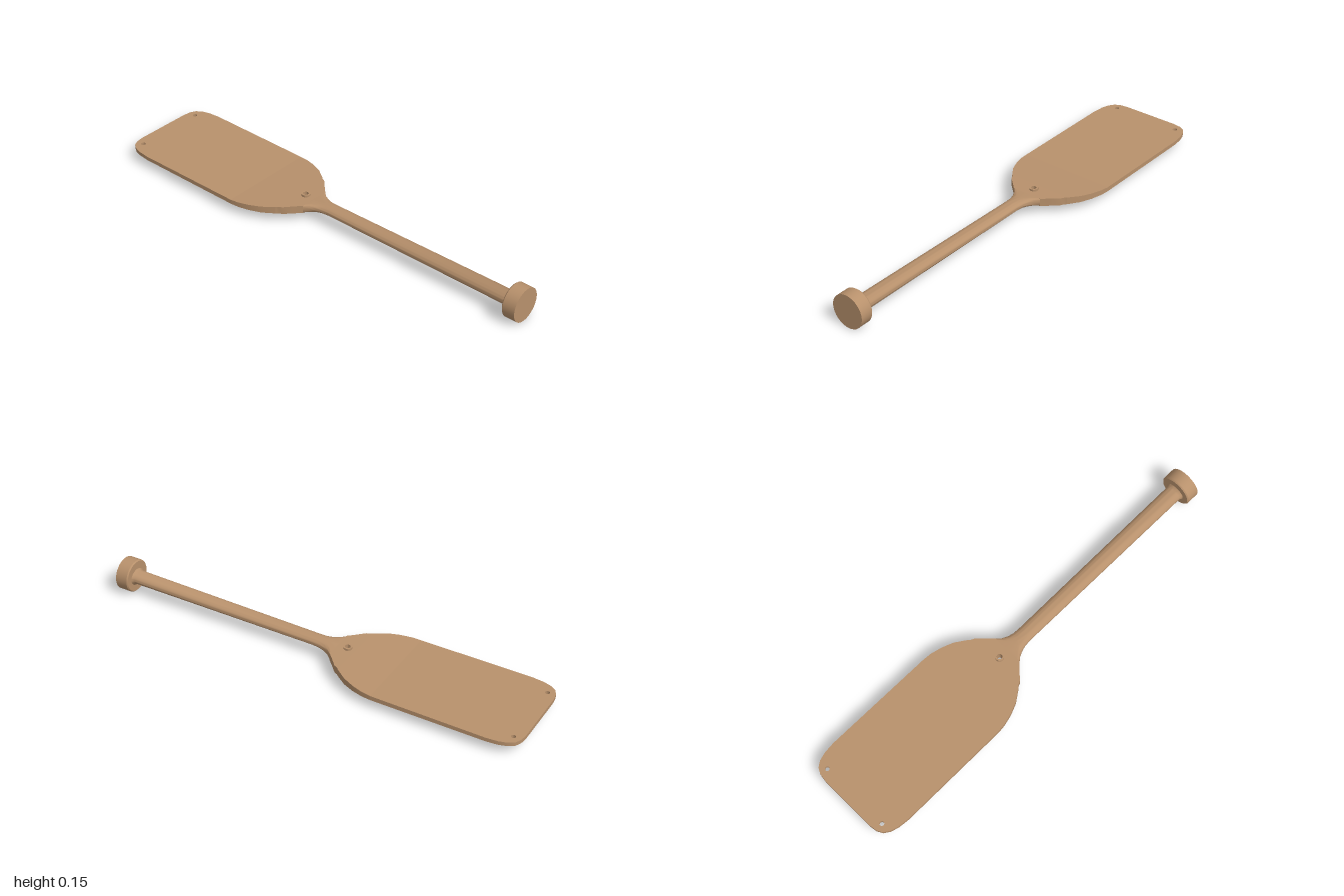
import * as THREE from 'three';
import { toCreasedNormals } from 'three/addons/utils/BufferGeometryUtils.js';

const Z0 = 0.002; // centre line of the paddle

// Flat slab between stations a and b; each station is [x, bottom, top]
function slab(half, a, b, holes) {
  const outline = [...half.map(([x, z]) => [x, -z]), ...half.slice().reverse()];
  const shape = new THREE.Shape(outline.map(([x, z]) => new THREE.Vector2(x, z)));
  for (const [x, z, r] of holes) {
    shape.holes.push(new THREE.Path().absarc(x, z, r, 0, Math.PI * 2, true));
  }
  const geo = new THREE.ExtrudeGeometry(shape, { depth: 1, bevelEnabled: false, curveSegments: 10 });
  geo.rotateX(-Math.PI / 2);
  const p = geo.attributes.position;
  for (let i = 0; i < p.count; i++) {
    const t = (p.getX(i) - a[0]) / (b[0] - a[0]);
    const low = THREE.MathUtils.lerp(a[1], b[1], t);
    const high = THREE.MathUtils.lerp(a[2], b[2], t);
    p.setY(i, THREE.MathUtils.lerp(low, high, p.getY(i)));
  }
  geo.translate(0, 0, Z0);
  return toCreasedNormals(geo, 0.6);
}

// Skin over sections [x, half width, bottom, top, roundness]; 1 is an ellipse, near 0 a box
function loft(sections, n = 32) {
  const pos = [], index = [];
  for (const [x, w, low, high, e] of sections) {
    for (let j = 0; j < n; j++) {
      const a = (j / n) * Math.PI * 2;
      const c = Math.cos(a), s = Math.sin(a);
      const f = (v) => Math.sign(v) * Math.pow(Math.abs(v), e);
      pos.push(x, (low + high) / 2 + f(s) * (high - low) / 2, Z0 + f(c) * w);
    }
  }
  for (let i = 0; i < sections.length - 1; i++) {
    for (let j = 0; j < n; j++) {
      const k = (j + 1) % n;
      const p = i * n + j, q = i * n + k;
      index.push(p, p + n, q, q, p + n, q + n);
    }
  }
  const geo = new THREE.BufferGeometry();
  geo.setAttribute('position', new THREE.Float32BufferAttribute(pos, 3));
  geo.setIndex(index);
  return toCreasedNormals(geo, 0.7);
}

export function createModel() {
  const model = new THREE.Group();
  model.name = 'paddle';
  const wood = new THREE.MeshStandardMaterial({ color: 0xb8916c });
  wood.name = 'wood';
  const add = (name, geo) => {
    const mesh = new THREE.Mesh(geo, wood);
    mesh.name = name;
    model.add(mesh);
    return mesh;
  };

  // Stations along the blade: x, bottom, top
  const tip = [-1, 0.043, 0.06];
  const mid = [-0.36, 0.041, 0.061];
  const shoulder = [-0.17, 0.04, 0.073];
  const root = [-0.085, 0.041, 0.077];

  // Blade with a small hole in each rounded corner
  add('blade', slab(
    [[-1, 0.13], [-0.995, 0.165], [-0.982, 0.19], [-0.955, 0.208], [-0.92, 0.218], [-0.87, 0.223], [-0.36, 0.221]],
    tip, mid, [[-0.96, 0.161, 0.01], [-0.96, -0.161, 0.01]]));
  // Thickening shoulder
  add('bladeShoulder', slab(
    [[-0.36, 0.221], [-0.32, 0.217], [-0.27, 0.204], [-0.22, 0.183], [-0.17, 0.148]],
    mid, shoulder, []));
  // Throat, pierced for the eyelet
  add('bladeThroat', slab(
    [[-0.17, 0.148], [-0.162, 0.14], [-0.145, 0.132], [-0.115, 0.1], [-0.085, 0.07]],
    shoulder, root, [[-0.132, 0, 0.015]]));

  // Eyelet sleeve through the throat
  const ring = [[0.012, 0.036], [0.019, 0.036], [0.019, 0.084], [0.012, 0.084], [0.012, 0.036]];
  const eyelet = add('eyelet', toCreasedNormals(
    new THREE.LatheGeometry(ring.map(([r, y]) => new THREE.Vector2(r, y)), 20), 0.7));
  eyelet.position.set(-0.132, 0, Z0);

  // Neck flowing into the tapered handle, flared at the knob
  add('handle', loft([
    [-0.086, 0.071, 0.041, 0.077, 0.15],
    [-0.065, 0.054, 0.042, 0.079, 0.4],
    [-0.04, 0.043, 0.043, 0.081, 0.7],
    [-0.015, 0.037, 0.044, 0.083, 0.9],
    [0.02, 0.035, 0.045, 0.085, 1],
    [0.925, 0.038, 0.044, 0.099, 1],
    [0.936, 0.042, 0.038, 0.105, 1],
    [0.945, 0.05, 0.028, 0.118, 1],
  ]));

  // Round end knob
  const profile = [[0, 0.939], [0.07, 0.939], [0.0745, 0.944], [0.0745, 1], [0, 1]];
  const knobGeo = new THREE.LatheGeometry(profile.map(([r, y]) => new THREE.Vector2(r, y)), 32);
  knobGeo.rotateZ(-Math.PI / 2);
  const knob = add('knob', toCreasedNormals(knobGeo, 0.7));
  knob.position.set(0, 0.0745, Z0);

  return model;
}
